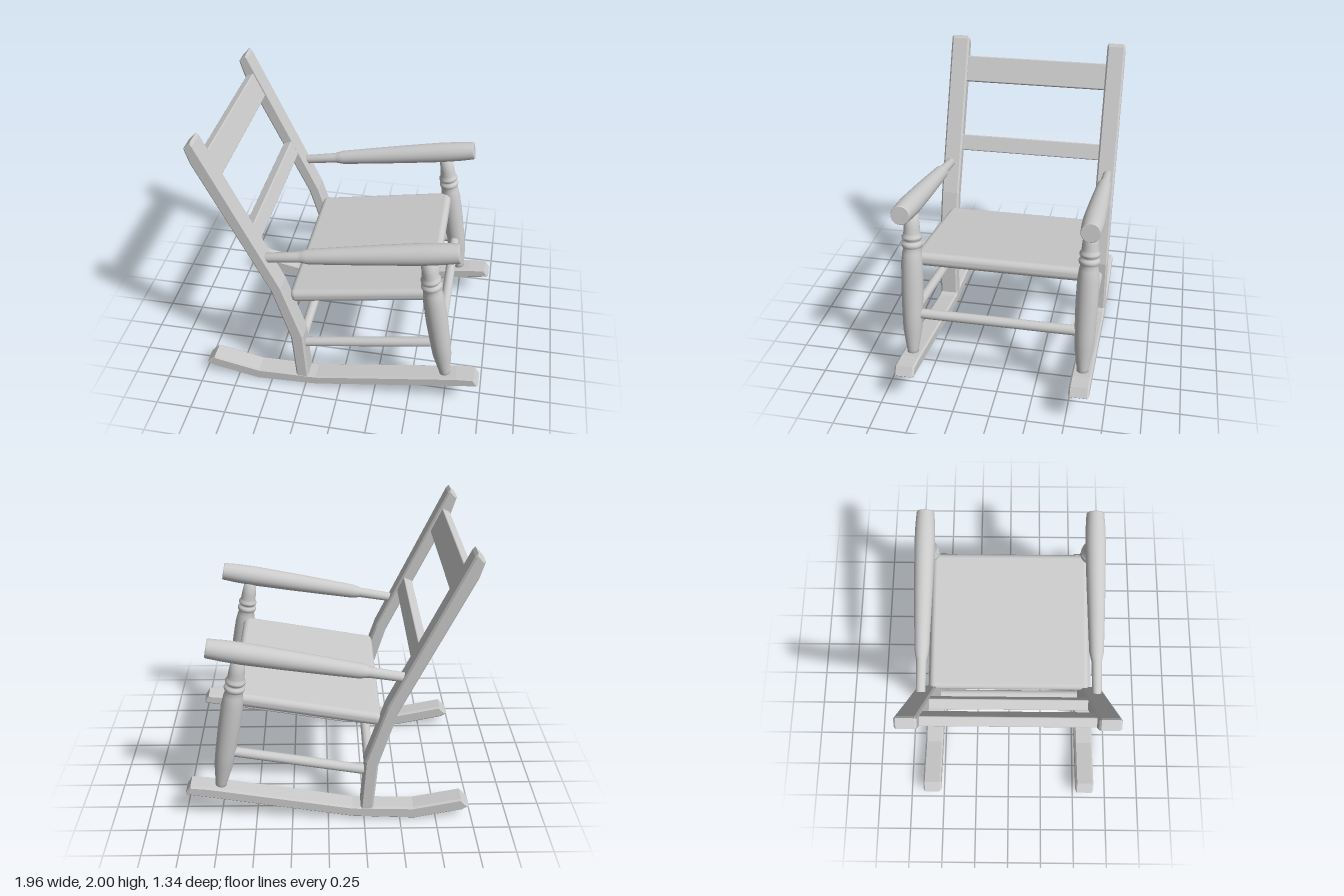
import * as THREE from 'three';
import { RoundedBoxGeometry } from 'three/addons/geometries/RoundedBoxGeometry.js';

const material = new THREE.MeshStandardMaterial({ color: 0xcccccc });
const UP = new THREE.Vector3(0, 1, 0);

export function createModel() {
  const chair = new THREE.Group();

  function add(name, geometry) {
    const mesh = new THREE.Mesh(geometry, material);
    mesh.name = name;
    chair.add(mesh);
    return mesh;
  }

  // Sawn board: side outline given in x, y and extruded across z with a small bevel
  function board(name, outline, z, width, bevel) {
    const shape = new THREE.Shape(outline.map(([x, y]) => new THREE.Vector2(x, y)));
    const geometry = new THREE.ExtrudeGeometry(shape, {
      depth: width - 2 * bevel, bevelThickness: bevel, bevelSize: bevel,
      bevelOffset: -bevel, bevelSegments: 1,
    });
    geometry.translate(0, 0, z - width / 2 + bevel);
    return add(name, geometry);
  }

  // Turned part: [position along axis 0..1, radius] profile, laid from a to b
  function turned(name, a, b, profile) {
    const from = new THREE.Vector3(...a);
    const axis = new THREE.Vector3(...b).sub(from);
    const length = axis.length();
    const points = profile.map(([t, r]) => new THREE.Vector2(r, t * length));
    const mesh = add(name, new THREE.LatheGeometry(points, 28));
    mesh.position.copy(from);
    mesh.quaternion.setFromUnitVectors(UP, axis.normalize());
    return mesh;
  }

  // Beam lying across z, tilted in the side plane
  function crossBoard(name, x, y, sx, sy, sz, angle, radius) {
    const mesh = add(name, new RoundedBoxGeometry(sx, sy, sz, 3, radius));
    mesh.position.set(x, y, 0);
    mesh.rotation.z = angle;
    return mesh;
  }

  const rocker = [
    [-0.98, 0.105], [-0.93, 0.075], [-0.6, 0.005], [-0.17, 0.025], [0.965, 0.225],
    [0.98, 0.24], [0.945, 0.297], [0.82, 0.285], [-0.17, 0.11], [-0.59, 0.1], [-0.92, 0.17],
  ];
  const post = [
    [-0.31, 0.07], [-0.222, 0.07], [-0.247, 0.49], [-0.38, 0.92], [-0.865, 1.98],
    [-0.882, 2], [-0.932, 1.945], [-0.902, 1.84], [-0.458, 0.885], [-0.338, 0.47],
  ];
  const leg = [
    [0, 0.001], [0, 0.038], [0.04, 0.04], [0.19, 0.064], [0.3, 0.069], [0.5, 0.074], [0.67, 0.072],
    [0.74, 0.064], [0.77, 0.056], [0.78, 0.066], [0.795, 0.07], [0.808, 0.066], [0.815, 0.055],
    [0.826, 0.055], [0.835, 0.066], [0.848, 0.067], [0.86, 0.058], [0.875, 0.055], [0.91, 0.053],
    [1, 0.044], [1, 0.001],
  ];
  const arm = [
    [0, 0.001], [0, 0.032], [0.18, 0.036], [0.2, 0.042], [0.23, 0.05], [0.4, 0.058],
    [0.6, 0.066], [0.82, 0.072], [0.92, 0.069], [0.994, 0.063], [0.996, 0.062],
    [1, 0.06], [1, 0.058], [1, 0.001],
  ];
  const rail = [[0, 0.034], [1, 0.034]];

  // Mirrored side frames
  for (const [side, s] of [['left', -1], ['right', 1]]) {
    const z = s * 0.585;
    board(`${side}Rocker`, rocker, z, 0.136, 0.012);
    board(`${side}BackPost`, post, z, 0.132, 0.012);
    turned(`${side}FrontLeg`, [0.745, 0.25, z], [0.572, 1.26, z], leg);
    turned(`${side}Arm`, [-0.49, 1.127, s * 0.597], [0.772, 1.35, s * 0.597], arm);
    turned(`${side}SideRail`, [-0.28, 0.382, z], [0.68, 0.552, z], rail);
  }

  // Seat slab, sloping down to the back
  crossBoard('seat', 0.142, 0.857, 1.0, 0.092, 1.15, 0.176, 0.04);

  // Stretchers between the legs
  turned('frontRail', [0.688, 0.555, -0.57], [0.688, 0.555, 0.57], rail);
  turned('backRail', [-0.28, 0.382, -0.57], [-0.28, 0.382, 0.57], rail);

  // Back slats, following the rake of the posts
  crossBoard('topSlat', -0.822, 1.762, 0.06, 0.19, 1.1, 0.427, 0.008);
  crossBoard('lowerSlat', -0.587, 1.257, 0.07, 0.118, 1.1, 0.427, 0.008);

  return chair;
}
